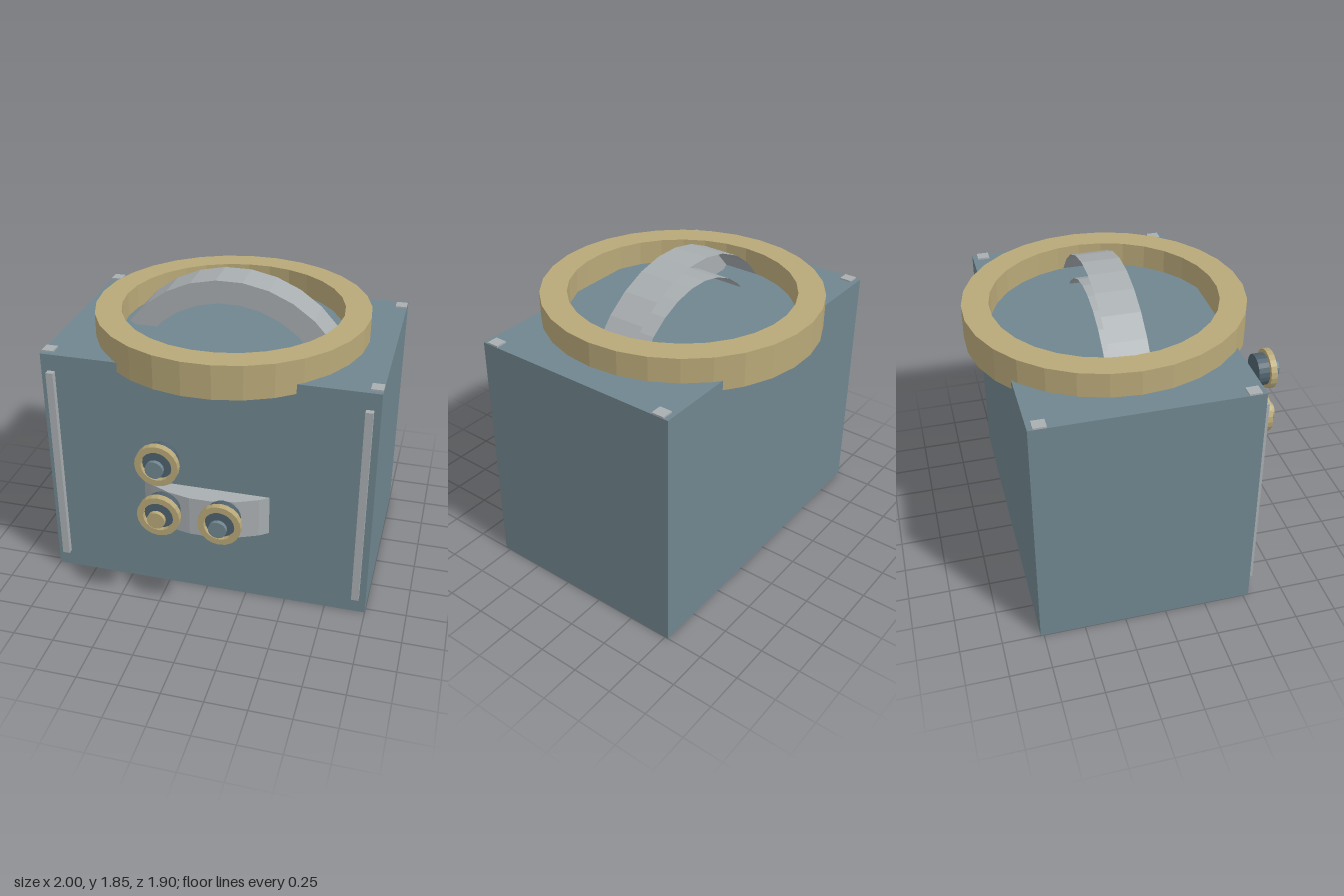
import * as THREE from 'three';

const paint = (name, color) => Object.assign(new THREE.MeshStandardMaterial({ color, flatShading: true }), { name });

// Regular polygon points, first corner on +x
const polygon = (radius, sides) => Array.from({ length: sides }, (_, i) => {
  const a = (i / sides) * Math.PI * 2;
  return new THREE.Vector2(Math.cos(a) * radius, Math.sin(a) * radius);
});

// Polygonal ring, extruded along +z
function ringGeometry(outer, inner, depth, sides) {
  const shape = new THREE.Shape(polygon(outer, sides));
  shape.holes.push(new THREE.Path(polygon(inner, sides)));
  return new THREE.ExtrudeGeometry(shape, { depth, bevelEnabled: false });
}

// Curved band about the z axis, peaking on +y; the back (-z) side may be left open
function archGeometry(outer, inner, back, front, halfAngle, segments, closed) {
  const section = [[outer, back], [outer, front], [inner, front], [inner, back]];
  if (closed) section.push(section[0]);
  const n = section.length;
  const positions = [];
  const index = [];
  for (let i = 0; i <= segments; i++) {
    const a = halfAngle * ((2 * i) / segments - 1);
    for (const [r, z] of section) positions.push(Math.sin(a) * r, Math.cos(a) * r, z);
  }
  for (let i = 0; i < segments; i++) {
    for (let j = 0; j < n - 1; j++) {
      const p = i * n + j;
      index.push(p, p + 1, p + n, p + 1, p + n + 1, p + n);
    }
  }
  const indexed = new THREE.BufferGeometry();
  indexed.setAttribute('position', new THREE.Float32BufferAttribute(positions, 3));
  indexed.setIndex(index);
  const geometry = indexed.toNonIndexed();
  geometry.computeVertexNormals();
  return geometry;
}

export function createModel() {
  const body = paint('slate blue', 0x6f858e);
  const dark = paint('dark slate', 0x4f616d);
  const gold = paint('dull gold', 0xb8a878);
  const grey = paint('light grey', 0xa8adb0);
  grey.side = THREE.DoubleSide;

  const model = new THREE.Group();
  model.name = 'cabinet';
  const add = (name, geometry, material, x = 0, y = 0, z = 0, parent = model) => {
    const mesh = new THREE.Mesh(geometry, material);
    mesh.name = name;
    mesh.position.set(x, y, z);
    parent.add(mesh);
    return mesh;
  };
  const box = (w, h, d) => new THREE.BoxGeometry(w, h, d);
  const disc = (r, d, sides) => new THREE.CylinderGeometry(r, r, d, sides).rotateX(Math.PI / 2);

  // Main box
  add('body', box(2, 1.515, 1.305), body, 0, 0.7575, -0.1175);

  // Large ring sunk into the top
  add('topRing', ringGeometry(0.84, 0.68, 0.21, 30).rotateX(-Math.PI / 2), gold, 0, 1.455, -0.115);

  // Carrying handle, open at the back
  const rad = Math.PI / 180;
  add('topHandle', archGeometry(0.78, 0.635, -0.115, 0.115, 54 * rad, 9, false), grey, 0, 1.079, -0.115);

  // Front pull, bulging out of the front face
  add('frontHandle', archGeometry(0.67, 0.53, -0.128, 0.128, 42 * rad, 7, true).rotateX(Math.PI / 2),
    grey, 0, 0.613, -0.006);

  // Side strips and corner pads
  for (const s of [-1, 1]) {
    add('frontStrip', box(0.045, 1.3, 0.035), grey, s * 0.9375, 0.76, 0.5525);
    for (const z of [-0.703, 0.468]) add('cornerPad', box(0.07, 0.024, 0.075), grey, s * 0.964, 1.513, z);
  }

  // Three dials standing off the front
  for (const [x, y, cap] of [[-0.18, 1.095, body], [-0.18, 0.757, gold], [0.18, 0.757, body]]) {
    const dial = new THREE.Group();
    dial.name = 'dial';
    dial.position.set(x, y, 0);
    model.add(dial);
    add('dialBase', disc(0.102, 0.08, 20), dark, 0, 0, 0.84, dial);
    add('dialRing', ringGeometry(0.127, 0.09, 0.04, 20), gold, 0, 0, 0.87, dial);
    add('dialCap', disc(0.053, 0.025, 16), cap, 0, 0, 0.9385, dial);
  }
  return model;
}
